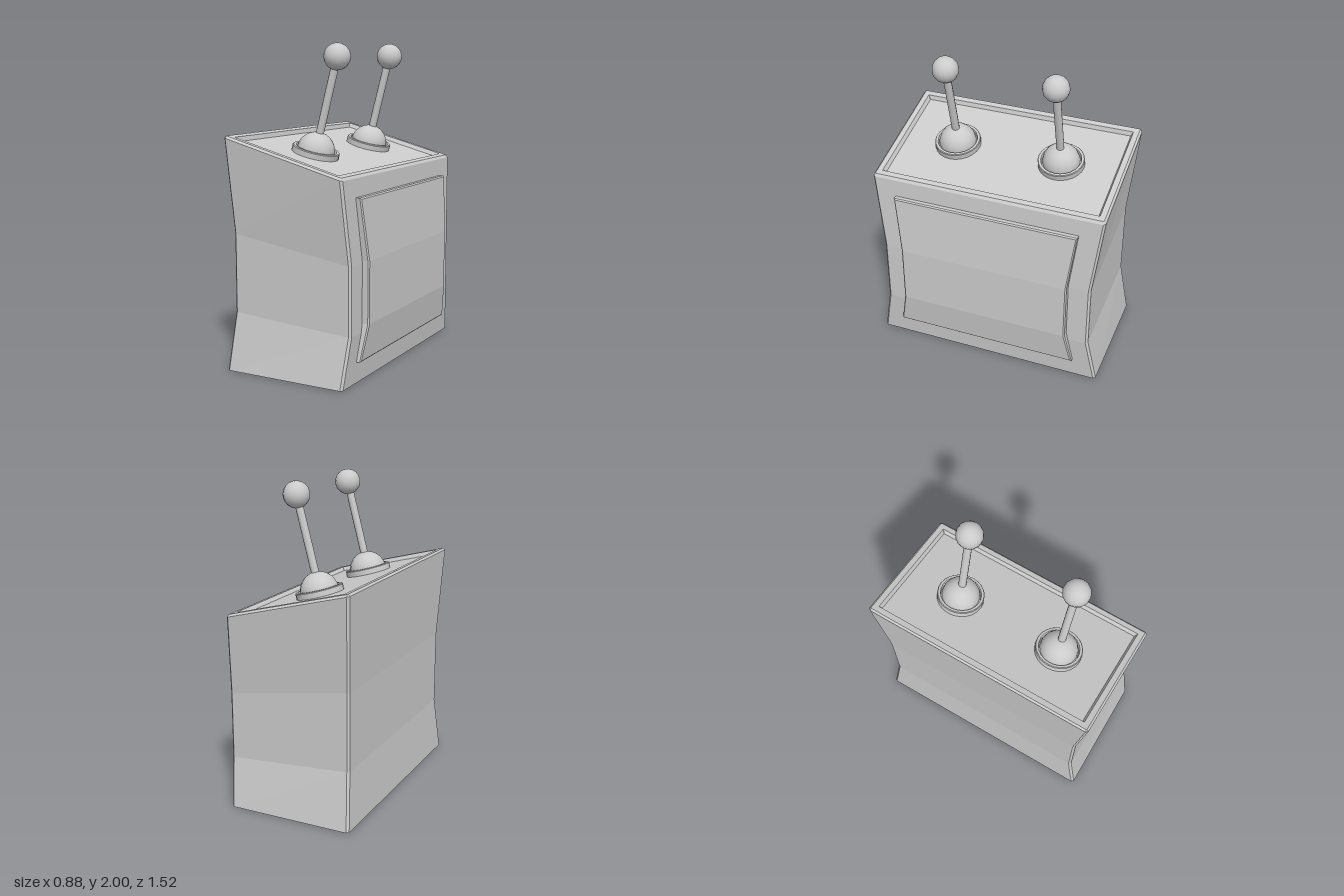
import * as THREE from 'three';

const SLOPE = 0.265;
const topY = x => 1.338 - SLOPE * x;             // sloping control deck plane
const grey = () => new THREE.MeshStandardMaterial({ color: 0xcccccc, side: THREE.DoubleSide });

// Skin a list of equal-length rings, plus extra quads [a, b, c, d] for caps
function skin(name, rings, caps = []) {
  const pos = [];
  const quad = (a, b, c, d) => [a, b, c, a, c, d].forEach(p => pos.push(...p));
  for (let r = 0; r < rings.length - 1; r++) {
    const lo = rings[r], hi = rings[r + 1], n = lo.length;
    for (let i = 0; i < n; i++) quad(lo[i], lo[(i + 1) % n], hi[(i + 1) % n], hi[i]);
  }
  caps.forEach(q => quad(...q));
  const g = new THREE.BufferGeometry();
  g.setAttribute('position', new THREE.Float32BufferAttribute(pos, 3));
  g.computeVertexNormals();
  const mesh = new THREE.Mesh(g, grey());
  mesh.name = name;
  return mesh;
}

// Rectangle with cut corners, counterclockwise from above
function boxRing(x0, x1, z, cut, yAt) {
  return [
    [x0 + cut, z], [x1 - cut, z], [x1, z - cut], [x1, -z + cut],
    [x1 - cut, -z], [x0 + cut, -z], [x0, -z + cut], [x0, z - cut],
  ].map(([x, zz]) => [x, yAt(x), zz]);
}

// Waisted cabinet, open underneath, with a raised rim round a recessed deck
function cabinet() {
  const floor = boxRing(-0.383, 0.307, 0.7, 0.001, x => topY(x) - 0.027);
  const rings = [
    boxRing(-0.44, 0.37, 0.762, 0.014, () => 0),
    boxRing(-0.415, 0.395, 0.703, 0.014, x => topY(x) * 0.25),
    boxRing(-0.415, 0.395, 0.703, 0.014, x => topY(x) * 0.59),
    boxRing(-0.44, 0.37, 0.762, 0.014, x => topY(x) - 0.014),
    boxRing(-0.427, 0.358, 0.749, 0.004, topY),
    boxRing(-0.39, 0.324, 0.714, 0.001, topY),
    floor,
  ];
  const f = floor;
  return skin('cabinet', rings, [
    [f[0], f[1], f[4], f[5]], [f[1], f[2], f[3], f[4]], [f[0], f[5], f[6], f[7]],
  ]);
}

// Bowed panel on the +x face
function facePanel() {
  const rows = [[0.135, 0.605, 0.41], [0.36, 0.56, 0.44], [0.74, 0.56, 0.44], [1.115, 0.605, 0.41]];
  const ring = (inset, back) => {
    const side = s => rows.map(([y, z, x], i) => [
      x - back, y + (i === 0 ? inset : i === 3 ? -inset : 0), s * (z - inset)]);
    return [...side(-1), ...side(1).reverse()];
  };
  const front = ring(0.008, 0);
  const caps = [0, 1, 2].map(i => [front[7 - i], front[i], front[i + 1], front[6 - i]]);
  return skin('facePanel', [ring(0, 0.07), ring(0, 0.008), front], caps);
}

// Joystick standing square to the deck
function joystick(z) {
  const group = new THREE.Group();
  group.name = 'joystick';
  const add = (name, geometry, y) => {
    const mesh = new THREE.Mesh(geometry, grey());
    mesh.name = name;
    mesh.position.y = y;
    group.add(mesh);
  };
  // Each profile segment is its own lathe so the collar edges stay crisp
  const collar = [[0.148, -0.03], [0.148, 0.008], [0.144, 0.013], [0.128, 0.013], [0.124, -0.005], [0.09, -0.005]]
    .map(p => new THREE.Vector2(...p));
  for (let i = 0; i < collar.length - 1; i++)
    add('collar', new THREE.LatheGeometry([collar[i], collar[i + 1]], 24), 0);
  add('dome', new THREE.SphereGeometry(0.12, 16, 8, 0, Math.PI * 2, 0, Math.PI * 0.55), -0.006);
  add('stick', new THREE.CylinderGeometry(0.025, 0.025, 0.5, 10, 1, true), 0.3);
  add('knob', new THREE.SphereGeometry(0.083, 14, 10), 0.59);
  group.position.set(-0.041, topY(-0.041), z);
  group.rotation.z = -Math.atan(SLOPE);
  return group;
}

export function createModel() {
  const model = new THREE.Group();
  model.name = 'controlCabinet';
  model.add(cabinet(), facePanel());
  for (const s of [-1, 1]) model.add(joystick(s * 0.35));
  return model;
}
